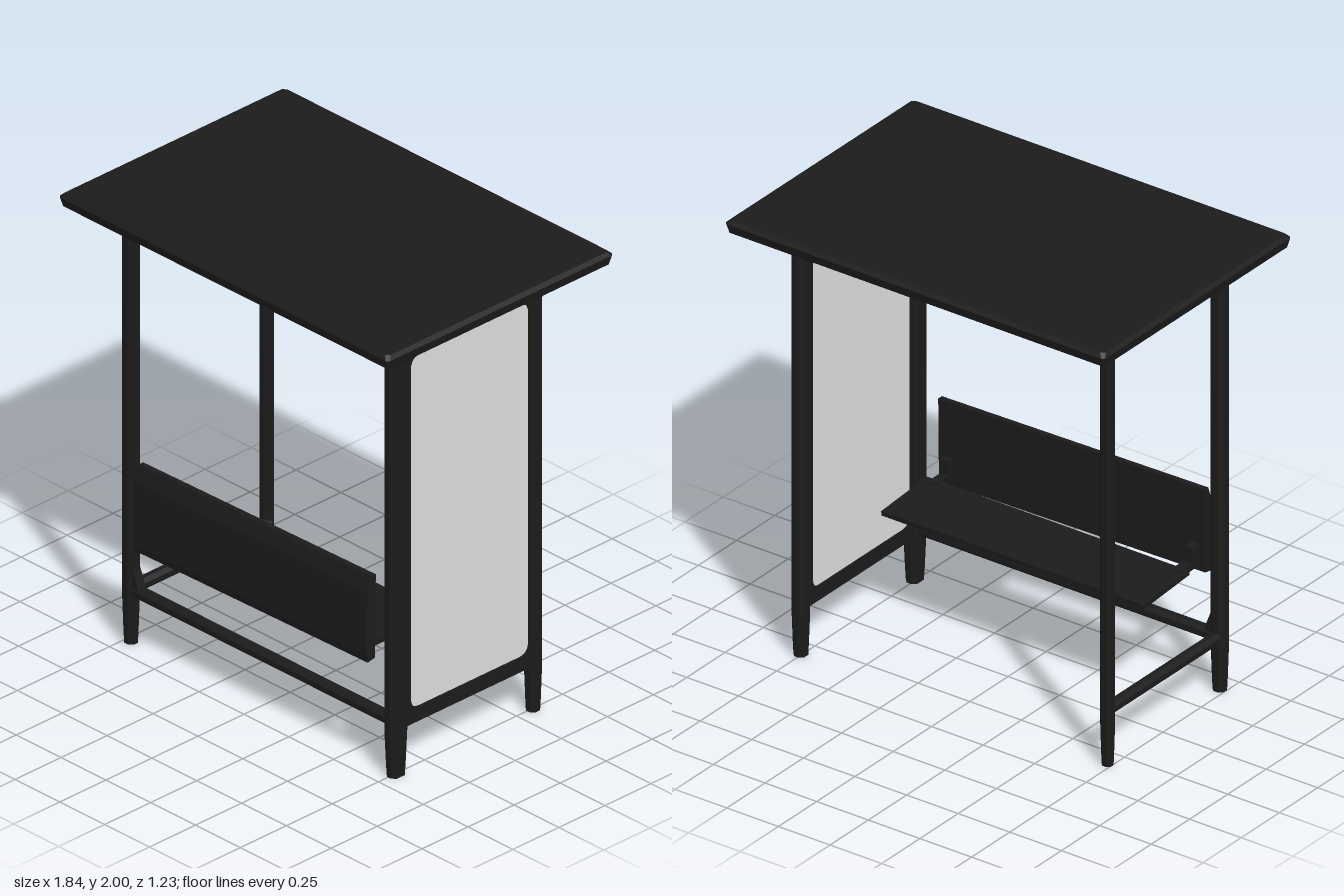
import * as THREE from 'three';

export function createModel() {
  const model = new THREE.Group();
  const dark = new THREE.MeshStandardMaterial({ color: 0x1b1b1b });
  dark.name = 'charcoal metal';
  const pale = new THREE.MeshStandardMaterial({ color: 0xdbdddc });
  pale.name = 'pale grey panel';

  const add = (name, geometry, material = dark, x = 0, y = 0, z = 0) => {
    const mesh = new THREE.Mesh(geometry, material);
    mesh.name = name;
    mesh.position.set(x, y, z);
    model.add(mesh);
    return mesh;
  };

  // Closed loft through chamfered rectangles: [y, halfX, halfZ, chamfer, centreX, centreZ]
  function loft(sections) {
    const pos = [];
    const rings = sections.map(([y, a, b, c, cx = 0, cz = 0]) =>
      [[a, b - c], [a - c, b], [c - a, b], [-a, b - c], [-a, c - b], [c - a, -b], [a - c, -b], [a, c - b]]
        .map(([x, z]) => [x + cx, y, z + cz]));
    const tri = (...corners) => corners.forEach((p) => pos.push(...p));
    for (let r = 0; r < rings.length - 1; r++) {
      for (let i = 0; i < 8; i++) {
        const j = (i + 1) % 8, lo = rings[r], hi = rings[r + 1];
        tri(lo[i], hi[i], hi[j]);
        tri(lo[i], hi[j], lo[j]);
      }
    }
    const base = rings[0], top = rings[rings.length - 1];
    for (let i = 1; i < 7; i++) {
      tri(base[0], base[i], base[i + 1]);
      tri(top[0], top[i + 1], top[i]);
    }
    const g = new THREE.BufferGeometry();
    g.setAttribute('position', new THREE.Float32BufferAttribute(pos, 3));
    g.computeVertexNormals();
    return g;
  }

  // Rounded rectangle in the z-y plane, usable as shape or hole
  function roundRect(path, x0, x1, y0, y1, r) {
    path.moveTo(x0 + r, y0);
    path.lineTo(x1 - r, y0);
    path.quadraticCurveTo(x1, y0, x1, y0 + r);
    path.lineTo(x1, y1 - r);
    path.quadraticCurveTo(x1, y1, x1 - r, y1);
    path.lineTo(x0 + r, y1);
    path.quadraticCurveTo(x0, y1, x0, y1 - r);
    path.lineTo(x0, y0 + r);
    path.quadraticCurveTo(x0, y0, x0 + r, y0);
    return path;
  }

  const frontZ = 0.41, backZ = -0.335, leftX = 0.755, rightX = -0.722;
  const midX = (leftX + rightX) / 2, midZ = (frontZ + backZ) / 2;
  const spanX = leftX - rightX, spanZ = frontZ - backZ;

  // Roof in one piece: flat soffit over the posts, sloping out to a softened rim
  add('roof', loft([
    [1.903, spanX / 2 + 0.045, spanZ / 2 + 0.04, 0.02, midX, midZ],
    [1.918, spanX / 2 + 0.08, spanZ / 2 + 0.06, 0.02, midX, midZ],
    [1.94, 0.855, 0.5, 0.02], [1.946, 0.912, 0.605, 0.012],
    [1.985, 0.92, 0.615, 0.012], [2.0, 0.905, 0.6, 0.015],
  ]));

  // Eight-sided posts with narrowed feet: [x, z, halfX, halfZ]
  const posts = [
    [leftX, frontZ, 0.035, 0.048], [leftX, backZ, 0.033, 0.036],
    [rightX, frontZ, 0.034, 0.034], [-0.731, backZ, 0.028, 0.028],
  ];
  for (const [x, z, a, b] of posts) {
    const c = a * 0.58;
    add('post', loft([
      [0, a * 0.8, b * 0.78, c * 0.8], [0.06, a * 0.88, b * 0.86, c * 0.88],
      [0.2, a, b, c], [1.84, a, b, c], [1.91, a + 0.005, b + 0.008, c],
    ]), dark, x, 0, z);
  }

  // Lower rails along the bench side and the open end
  const rail = (length) => {
    const g = new THREE.CylinderGeometry(0.028, 0.028, length, 8).toNonIndexed();
    g.rotateY(Math.PI / 8);
    g.computeVertexNormals();
    return g;
  };
  add('lowerRail', rail(spanX), dark, midX, 0.238, frontZ).rotation.z = Math.PI / 2;
  add('sideLowerRail', rail(spanZ), dark, rightX, 0.238, midZ).rotation.x = Math.PI / 2;

  // Gusset where the rail meets the right-hand post
  const gusset = new THREE.Shape([[0, 0], [0.065, 0], [0.03, 0.09], [0, 0.09]].map(([x, y]) => new THREE.Vector2(x, y)));
  const gussetGeometry = new THREE.ExtrudeGeometry(gusset, { depth: 0.04, bevelEnabled: false });
  add('frontGusset', gussetGeometry, dark, rightX, 0.25, frontZ - 0.02);

  // Framed end wall with a rounded opening
  const frame = roundRect(new THREE.Shape(), backZ, frontZ, 0.21, 1.91, 0.01);
  frame.holes.push(roundRect(new THREE.Path(), -0.29, 0.352, 0.275, 1.845, 0.05));
  const wall = (shape, depth) => {
    const g = new THREE.ExtrudeGeometry(shape, { depth, bevelEnabled: false, curveSegments: 6 });
    g.translate(0, 0, -depth / 2);
    g.rotateY(-Math.PI / 2);
    return g;
  };
  add('endWallFrame', wall(frame, 0.05), dark, leftX);
  const pane = roundRect(new THREE.Shape(), -0.292, 0.354, 0.273, 1.847, 0.05);
  add('endWallPanel', wall(pane, 0.036), pale, leftX);

  // Bench backrest: side profile (z, y) drawn along the width, turned slightly
  const profile = new THREE.Shape([[0.425, 0.475], [0.465, 0.468], [0.47, 0.5], [0.467, 0.78], [0.445, 0.845], [0.42, 0.845]]
    .map(([z, y]) => new THREE.Vector2(-z, y)));
  const back = new THREE.ExtrudeGeometry(profile, { depth: 1.27, bevelEnabled: false });
  back.translate(0, 0, -0.635);
  back.rotateY(Math.PI / 2);
  add('backrest', back, dark, -0.005).rotation.y = 0.022;

  // Thin bench seat, tipped slightly
  const seat = add('seat', new THREE.BoxGeometry(1.27, 0.02, 0.3), dark, 0.005, 0.51, 0.185);
  seat.rotation.x = -0.07;

  // Short arms joining backrest and seat
  for (const s of [1, -1]) {
    add('seatBracket', new THREE.BoxGeometry(0.04, 0.08, 0.05), dark, s * 0.59, 0.56, 0.405);
    add('seatArm', new THREE.BoxGeometry(0.04, 0.03, 0.13), dark, s * 0.59, 0.52, 0.365);
  }

  return model;
}
